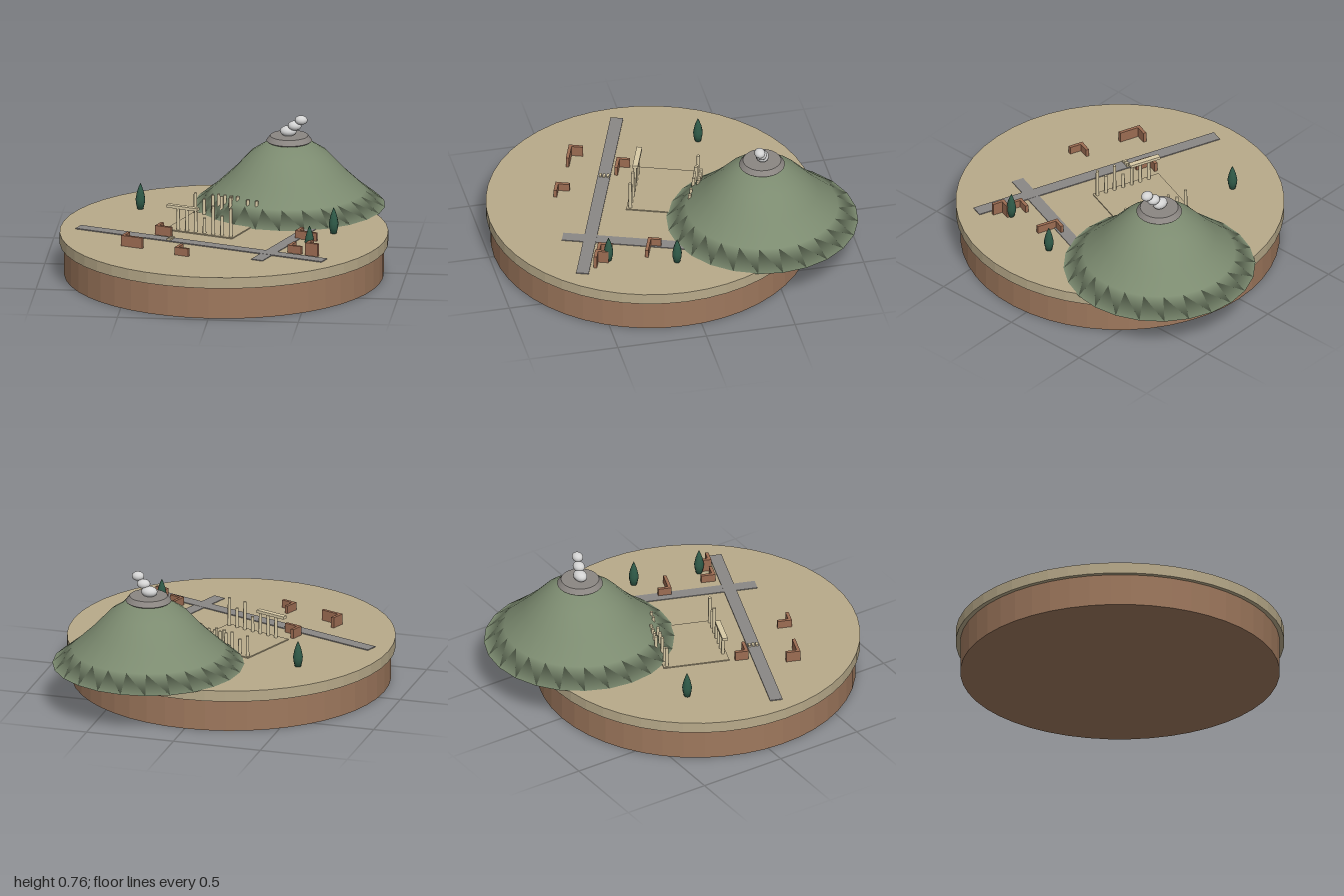
import * as THREE from 'three';

const mat = (name, color) => {
  const m = new THREE.MeshStandardMaterial({ color });
  m.name = name;
  return m;
};
const V = (pts) => pts.map(([x, y]) => new THREE.Vector2(x, y));
const GROUND = 0.242;
const TILT = THREE.MathUtils.degToRad(20); // the town grid is turned by this angle

export function createModel() {
  const sand = mat('sand', 0xb8aa8a);
  const earth = mat('earth', 0x9e785d);
  const grass = mat('hill green', 0x7c8b70);
  const rock = mat('crater grey', 0x8b8682);
  const smoke = mat('smoke', 0xd3d3d3);
  const paving = mat('road grey', 0x8a8785);
  const stone = mat('column stone', 0xd8caa6);
  const brick = mat('brick', 0x9c6c52);
  const leaf = mat('cypress green', 0x2f5a48);

  const root = new THREE.Group();
  root.name = 'volcanoTown';

  const add = (name, geo, material, x, y, z, parent = root) => {
    const m = new THREE.Mesh(geo, material);
    m.name = name;
    m.position.set(x, y, z);
    parent.add(m);
    return m;
  };
  // Box on the town grid, standing on height y
  const gridBox = (name, material, w, h, d, x, y, z, parent = root) => {
    const m = add(name, new THREE.BoxGeometry(w, h, d), material, x, y + h / 2, z, parent);
    m.rotation.y = -TILT;
    return m;
  };
  // Offset along the grid: u runs along the main road, v towards the front
  const grid = (x, z, u, v) => [
    x + u * Math.cos(TILT) - v * Math.sin(TILT),
    z + u * Math.sin(TILT) + v * Math.cos(TILT),
  ];
  const faceted = (geo) => {
    const g = geo.toNonIndexed();
    g.computeVertexNormals();
    return g;
  };

  // Round base
  add('earthBase', faceted(new THREE.CylinderGeometry(0.88, 0.88, 0.18, 48)), earth, 0, 0.09, 0.093);
  add('sandPlate', faceted(new THREE.CylinderGeometry(0.905, 0.905, GROUND - 0.18, 48)), sand,
    0, (GROUND + 0.18) / 2, 0.093);

  // Volcano with a closed, softly shaded foot
  const hx = 0.305, hz = -0.47;
  add('volcano', new THREE.LatheGeometry(V([
    [0, 0.24], [0.53, 0.24], [0.42, 0.328], [0.31, 0.432], [0.213, 0.538], [0.115, 0.602], [0, 0.605],
  ]), 24), grass, hx, 0, hz);
  add('craterRim', new THREE.CylinderGeometry(0.105, 0.126, 0.028, 24), rock, hx, 0.622, hz);
  add('craterFoot', new THREE.CylinderGeometry(0.126, 0.112, 0.01, 24), rock, hx, 0.603, hz);

  // Smoke puffs
  [
    [0.3, 0.66, -0.472, 0.046, 0.03, 0.036],
    [0.337, 0.696, -0.457, 0.038, 0.027, 0.032],
    [0.374, 0.733, -0.442, 0.035, 0.026, 0.03],
  ].forEach(([x, y, z, a, b, c]) => {
    add('smokePuff', new THREE.SphereGeometry(1, 16, 12), smoke, x, y, z).scale.set(a, b, c);
  });

  // Roads
  gridBox('mainRoad', paving, 1.5, 0.005, 0.07, -0.1, GROUND, 0.355);
  gridBox('crossRoad', paving, 0.07, 0.004, 0.8, 0.372, GROUND, 0.264);

  // Crossing stones on the main road
  for (let i = -1; i <= 1; i++) {
    const [x, z] = grid(-0.275, 0.29, 0, i * 0.021);
    gridBox('crossingStone', stone, 0.026, 0.014, 0.014, x, GROUND, z);
  }

  // Ruined forum: paved square with two rows of columns
  const forum = new THREE.Group();
  forum.name = 'forum';
  root.add(forum);
  const fx = -0.07, fz = -0.003;
  gridBox('forumFloor', sand, 0.41, 0.006, 0.37, fx, GROUND, fz, forum);
  const column = (x, z, top) => add('column',
    new THREE.CylinderGeometry(0.009, 0.01, top - GROUND, 8), stone, x, (top + GROUND) / 2, z, forum);
  const rows = [
    [0.165, [0, 0.37, 0.37, 0.37, 0.335, 0.41, 0.36, 0.41]],
    [-0.165, [0.365, 0.335, 0.365, 0.365, 0.365, 0, 0.365, 0.365]],
  ];
  for (const [v, tops] of rows) {
    tops.forEach((top, i) => {
      const [x, z] = grid(fx, fz, (i - 3.5) * 0.0534, v);
      if (top) column(x, z, top);
    });
  }
  gridBox('architrave', stone, 0.185, 0.016, 0.03, -0.225, 0.37, 0.114, forum);

  // Temple columns at the foot of the hill
  for (let i = 0; i < 4; i++) {
    const [x, z] = grid(-0.06, -0.208, i * 0.039, 0);
    column(x, z, 0.365);
  }

  // House ruins: two walls meeting at a corner [x, z, length, depth, height]
  [
    [-0.36, 0.192, 0.1, 0.075, 0.053],
    [-0.525, 0.425, 0.13, 0.08, 0.06],
    [-0.215, 0.57, 0.085, 0.08, 0.044],
    [0.415, 0.19, 0.13, 0.075, 0.046],
    [0.4, 0.468, 0.085, 0.08, 0.044],
    [0.503, 0.507, 0.075, 0.075, 0.072],
  ].forEach(([x, z, len, dep, h]) => {
    const house = new THREE.Group();
    house.name = 'houseRuin';
    root.add(house);
    const [ax, az] = grid(x, z, len / 2 - 0.01, 0);
    const [bx, bz] = grid(x, z, 0, -dep / 2);
    gridBox('longWall', brick, len, h, 0.018, ax, GROUND, az, house);
    gridBox('sideWall', brick, 0.018, h, dep - 0.018, bx, GROUND, bz, house);
  });

  // Cypress trees
  const cypress = new THREE.LatheGeometry(V([
    [0, 0], [0.017, 0.002], [0.025, 0.035], [0.027, 0.06], [0.019, 0.1], [0.009, 0.13], [0, 0.15],
  ]), 10);
  [[-0.5, -0.29], [0.605, 0.077], [0.507, 0.442]].forEach(([x, z]) => {
    add('cypress', cypress, leaf, x, GROUND, z);
  });

  return root;
}
